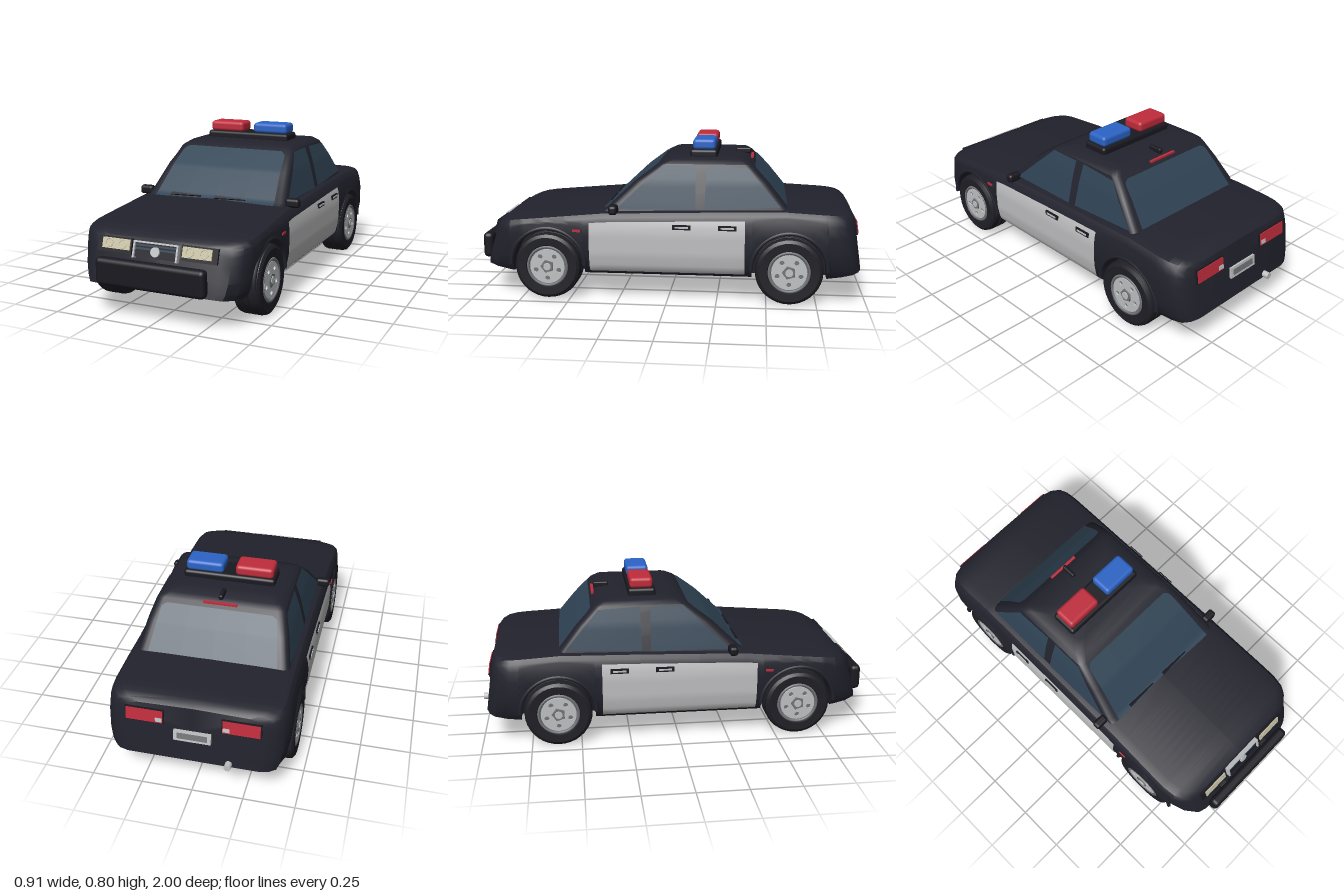
import * as THREE from 'three';
import { toCreasedNormals } from 'three/addons/utils/BufferGeometryUtils.js';
import { RoundedBoxGeometry } from 'three/addons/geometries/RoundedBoxGeometry.js';

const material = (name, color, side = THREE.FrontSide) => {
  const m = new THREE.MeshStandardMaterial({ color, side });
  m.name = name;
  return m;
};
const paint = material('dark paint', 0x22222d);
const black = material('black trim', 0x191920);
const rubber = material('rubber', 0x1f1f26);
const glass = material('tinted glass', 0x2f4354, THREE.DoubleSide);
const white = material('door white', 0xc2c2c4, THREE.DoubleSide);
const chrome = material('chrome', 0xc0c2c4);
const steel = material('dark steel', 0x74767a);
const cream = material('headlamp cream', 0xcbc4a2);
const red = material('red lens', 0xc02c3c);
const blue = material('blue lens', 0x2b64c6);

// Piecewise linear lookup in a table of [key, value] rows
function lookup(table, k) {
  if (k <= table[0][0]) return table[0][1];
  for (let i = 1; i < table.length; i++) {
    const [k0, v0] = table[i - 1], [k1, v1] = table[i];
    if (k <= k1) return v0 + (v1 - v0) * (k - k0) / (k1 - k0);
  }
  return table[table.length - 1][1];
}
const { lerp, clamp } = THREE.MathUtils;

function add(parent, name, geo, mat, x = 0, y = 0, z = 0) {
  const mesh = new THREE.Mesh(geo, mat);
  mesh.name = name;
  mesh.position.set(x, y, z);
  parent.add(mesh);
  return mesh;
}
const box = (w, h, d) => new THREE.BoxGeometry(w, h, d);
const soft = (w, h, d, r) => new RoundedBoxGeometry(w, h, d, 3, r);

// Closed skin over rings of equal point count, capped at both ends
function loft(rings, crease) {
  const n = rings[0].length, pos = rings.flat(2), idx = [];
  for (let i = 0; i < rings.length - 1; i++) for (let j = 0; j < n; j++) {
    const a = i * n + j, b = i * n + (j + 1) % n;
    idx.push(a, b, b + n, a, b + n, a + n);
  }
  [0, rings.length - 1].forEach((r, end) => {
    const c = pos.length / 3;
    for (let k = 0; k < 3; k++) pos.push(rings[r].reduce((s, p) => s + p[k], 0) / n);
    for (let j = 0; j < n; j++) {
      const a = r * n + j, b = r * n + (j + 1) % n;
      idx.push(c, end ? a : b, end ? b : a);
    }
  });
  const g = new THREE.BufferGeometry();
  g.setAttribute('position', new THREE.Float32BufferAttribute(pos, 3));
  g.setIndex(idx);
  return toCreasedNormals(g, crease);
}

// Thin sheet following a rule (u, v) -> [x, y, z]
function sheet(rule, nu = 10, nv = 10) {
  const g = new THREE.PlaneGeometry(1, 1, nu, nv), p = g.attributes.position;
  for (let i = 0; i < p.count; i++) p.setXYZ(i, ...rule(p.getX(i) + 0.5, p.getY(i) + 0.5));
  g.computeVertexNormals();
  return g;
}

// Body rules: deck height and half width along z, side bulge by height
const DECK = [[-0.945, 0.44], [-0.93, 0.452], [-0.9, 0.462], [-0.85, 0.467], [-0.6, 0.48], [-0.2, 0.472],
  [0.33, 0.457], [0.75, 0.42], [0.81, 0.412], [0.85, 0.404], [0.885, 0.392], [0.9, 0.382]];
const PLAN = [[-0.945, 0.335], [-0.93, 0.385], [-0.9, 0.42], [-0.85, 0.437], [-0.78, 0.443],
  [0.74, 0.443], [0.81, 0.432], [0.85, 0.41], [0.885, 0.368], [0.9, 0.32]];
const BULGE = [[0.13, 0.395], [0.17, 0.426], [0.24, 0.44], [0.35, 0.443], [0.4, 0.437], [0.46, 0.42]];
const SILL = [[-0.945, 0.165], [-0.8, 0.132], [0.8, 0.132], [0.9, 0.16]];
const WHEELS = [0.612, -0.612], ARCH = 0.186, ARCH_Y = 0.178;

// Nose and tail lean back towards the top
const lean = (z, y) => z > 0
  ? z + (0.35 - y) * 0.3 * clamp((z - 0.8) / 0.08, 0, 1)
  : z - (0.35 - y) * 0.15 * clamp((-z - 0.8) / 0.08, 0, 1);

function bodyRing(z) {
  const top = lookup(DECK, z), scale = lookup(PLAN, z) / 0.443;
  let low = lookup(SILL, z);
  for (const c of WHEELS) {
    const d = ARCH ** 2 - (z - c) ** 2;
    if (d > -1e-6) low = ARCH_Y + Math.sqrt(Math.max(d, 0));
  }
  const half = [0, 0.12, 0.35, 0.7, 0.88, 1].map(f => {
    const y = lerp(low, top - 0.03, f);
    return [lookup(BULGE, y) * scale, y];
  });
  const shoulder = half[5][0];
  half.push([shoulder - 0.016, top - 0.011], [shoulder - 0.06, top]);
  const ring = [[0, low], ...half, [0, top + 0.006], ...half.slice().reverse().map(([x, y]) => [-x, y])];
  return ring.map(([x, y]) => [x, y, lean(z, y)]);
}

function makeBody() {
  const zs = [...new Set([...DECK, ...PLAN].map(r => r[0])), 0.1, -0.4];
  for (const c of WHEELS) {
    for (let k = 0; k <= 14; k++) zs.push(c + ARCH * Math.cos(k * Math.PI / 14));
    zs.push(c + ARCH + 0.001, c - ARCH - 0.001);
  }
  return loft(zs.sort((a, b) => a - b).map(bodyRing), 0.6);
}

// Cabin rules by height: windscreen z, rear window z, half width
const FRONT = [[0.43, 0.38], [0.455, 0.335], [0.47, 0.308], [0.6, 0.17], [0.69, 0.05], [0.71, 0.01], [0.718, -0.05]];
const REAR = [[0.43, -0.63], [0.47, -0.605], [0.6, -0.5], [0.69, -0.415], [0.71, -0.385], [0.718, -0.3]];
const WIDE = [[0.43, 0.39], [0.47, 0.383], [0.6, 0.352], [0.69, 0.322], [0.71, 0.295], [0.718, 0.24]];

function cabinRing(y) {
  const w = lookup(WIDE, y), f = lookup(FRONT, y), b = lookup(REAR, y), r = 0.035, ring = [];
  for (let q = 0; q < 4; q++) for (let k = 0; k <= 4; k++) {
    const a = (q + k / 4) * Math.PI / 2;
    const cx = q === 0 || q === 3 ? w - r : r - w, cz = q < 2 ? b + r : f - r;
    ring.push([cx + r * Math.cos(a), y, cz - r * Math.sin(a)]);
  }
  return ring;
}

// Side window from four [z, y] corners lying on the cabin side
const sideGlass = (s, [a, b, c, d]) => sheet((u, v) => {
  const at = k => lerp(lerp(a[k], b[k], u), lerp(d[k], c[k], u), v), y = at(1);
  return [s * (lookup(WIDE, y) + 0.004), y, at(0)];
});

function makeWheel() {
  const wheel = new THREE.Group();
  wheel.name = 'wheel';
  const spin = new THREE.Group();
  spin.rotation.z = -Math.PI / 2;
  wheel.add(spin);
  const profile = [[0.09, -0.068], [0.15, -0.068], [0.165, -0.058], [0.17, -0.04], [0.17, -0.022], [0.162, -0.02],
    [0.162, -0.012], [0.17, -0.01], [0.17, 0.01], [0.162, 0.012], [0.162, 0.02], [0.17, 0.022], [0.17, 0.04],
    [0.165, 0.058], [0.15, 0.068], [0.11, 0.066], [0.1, 0.045]].map(p => new THREE.Vector2(...p));
  add(spin, 'tyre', toCreasedNormals(new THREE.LatheGeometry(profile, 36), 0.6), rubber);
  add(spin, 'rim dish', new THREE.CylinderGeometry(0.106, 0.106, 0.11, 32), steel);
  const lip = add(spin, 'rim lip', new THREE.TorusGeometry(0.1, 0.007, 8, 36), steel, 0, 0.061);
  lip.rotation.x = Math.PI / 2;
  // Pierced wheel face
  const face = new THREE.Shape().absarc(0, 0, 0.089, 0, Math.PI * 2);
  for (let i = 0; i < 5; i++) {
    const a = i * Math.PI * 0.4;
    face.holes.push(new THREE.Path().absarc(0.062 * Math.cos(a), 0.062 * Math.sin(a), 0.012, 0, Math.PI * 2, true));
  }
  const disc = new THREE.ExtrudeGeometry(face, { depth: 0.009, bevelEnabled: false, curveSegments: 16 });
  add(spin, 'wheel face', disc.rotateX(-Math.PI / 2), chrome, 0, 0.055);
  add(spin, 'hub plate', new THREE.CylinderGeometry(0.034, 0.036, 0.006, 5), steel, 0, 0.067);
  add(spin, 'hub cap', new THREE.CylinderGeometry(0.019, 0.021, 0.008, 16), chrome, 0, 0.069);
  return wheel;
}

export function createModel() {
  const car = new THREE.Group();
  car.name = 'patrolCar';
  add(car, 'body', makeBody(), paint);
  add(car, 'floor', box(0.61, 0.2, 1.64), black, 0, 0.225, 0);
  add(car, 'cabin', loft([0.43, 0.455, 0.47, 0.6, 0.69, 0.71, 0.718].map(cabinRing), 0.6), paint);

  // Windscreen and rear window
  const pane = (y0, y1, w0, w1, table, off) => sheet((u, v) => {
    const y = lerp(y0, y1, v), round = 0.025 * clamp((v - 0.9) / 0.1, 0, 1) ** 2;
    return [(u * 2 - 1) * (lerp(w0, w1, v) - round), y, lookup(table, y) + off];
  }, 4, 30);
  add(car, 'windscreen', pane(0.458, 0.688, 0.335, 0.292, FRONT, 0.006), glass);
  add(car, 'rearWindow', pane(0.485, 0.675, 0.325, 0.29, REAR, -0.006), glass);

  for (const s of [1, -1]) {
    add(car, 'frontSideWindow', sideGlass(s, [[0.265, 0.465], [-0.14, 0.468], [-0.137, 0.685], [0.03, 0.685]]), glass);
    add(car, 'rearSideWindow', sideGlass(s, [[-0.185, 0.47], [-0.565, 0.488], [-0.4, 0.675], [-0.19, 0.685]]), glass);
    // White doors
    add(car, 'doorPanel', sheet((u, v) => {
      const z = lerp(0.395, -0.39, u), y = lerp(0.148, lookup(DECK, z) - 0.05, v);
      return [s * (lookup(BULGE, y) + 0.005), y, z];
    }, 12, 14), white);
    for (const z of [-0.075, -0.303]) {
      add(car, 'handleRecess', box(0.012, 0.024, 0.092), black, s * 0.443, 0.39, z);
      add(car, 'doorHandle', box(0.008, 0.008, 0.066), chrome, s * 0.449, 0.39, z);
    }
    add(car, 'sideMarker', box(0.01, 0.012, 0.04), red, s * 0.441, 0.36, 0.458);
    add(car, 'mirror', soft(0.075, 0.046, 0.044, 0.015), black, s * 0.416, 0.468, 0.272);
    add(car, 'mirrorArm', box(0.05, 0.02, 0.025), black, s * 0.375, 0.458, 0.272);
    // Wheels with arch lips
    for (const z of WHEELS) {
      const wheel = makeWheel();
      wheel.position.set(s * 0.379, 0.171, z);
      if (s < 0) wheel.rotation.y = Math.PI;
      car.add(wheel);
      const lip = add(car, 'archLip', new THREE.TorusGeometry(ARCH + 0.005, 0.011, 6, 28, Math.PI), paint, s * 0.434, ARCH_Y, z);
      lip.rotation.y = Math.PI / 2;
    }
    // Light bar lens
    add(car, s > 0 ? 'blueBeacon' : 'redBeacon', soft(0.195, 0.056, 0.118, 0.018), s > 0 ? blue : red, s * 0.128, 0.777, -0.172);
    add(car, 'bumperStrut', box(0.04, 0.05, 0.08), black, s * 0.16, 0.23, 0.93);
  }
  add(car, 'lightBarBase', soft(0.472, 0.045, 0.142, 0.015), black, 0, 0.73, -0.17);
  add(car, 'pushBar', soft(0.564, 0.132, 0.055, 0.022), black, 0, 0.231, 0.9725);
  add(car, 'roofAerial', soft(0.022, 0.028, 0.08, 0.008), black, 0, 0.721, -0.37);
  add(car, 'highBrakeLamp', box(0.17, 0.01, 0.014), red, 0, 0.695, -0.417);

  // Wipers: slim tapering blades on the glass
  for (const x of [-0.245, 0.005]) {
    const blade = new THREE.Shape().moveTo(0, 0).lineTo(0.172, 0.006).lineTo(0.172, 0.01).lineTo(0, 0.016);
    const wiper = add(car, 'wiper', new THREE.ExtrudeGeometry(blade, { depth: 0.007, bevelEnabled: false }), black, x, 0.463, 0.326);
    wiper.rotation.set(-0.85, 0, 0);
  }

  // Nose fittings, tilted with the panel
  const nose = new THREE.Group();
  nose.name = 'noseFittings';
  nose.position.set(0, 0.342, 0.902);
  nose.rotation.x = -0.29;
  car.add(nose);
  for (const s of [1, -1]) {
    add(nose, 'lampBezel', box(0.182, 0.072, 0.024), black, s * 0.22, 0, 0);
    add(nose, 'headlamp', box(0.147, 0.05, 0.008), cream, s * 0.21, 0.004, 0.014);
    for (const x of [0.174, 0.247]) {
      add(nose, 'lampRing', new THREE.TorusGeometry(0.019, 0.002, 6, 24), chrome, s * x, 0.004, 0.018);
    }
    add(nose, 'grilleSideBar', box(0.009, 0.076, 0.034), chrome, s * 0.112, -0.012, 0.006);
  }
  add(nose, 'grilleTopBar', box(0.233, 0.008, 0.034), chrome, 0, 0.026, 0.006);
  add(nose, 'grille', box(0.215, 0.07, 0.026), black, 0, -0.01, 0);
  for (const y of [0.012, -0.004]) add(nose, 'grilleSlat', box(0.21, 0.009, 0.006), glass, 0, y, 0.014);
  const stud = add(nose, 'grilleStud', new THREE.CylinderGeometry(0.023, 0.023, 0.01, 20), chrome, 0, -0.014, 0.018);
  stud.rotation.x = Math.PI / 2;

  // Tail fittings
  const tail = new THREE.Group();
  tail.name = 'tailFittings';
  tail.position.set(0, 0.35, -0.945);
  tail.rotation.set(-0.15, Math.PI, 0, 'YXZ');
  car.add(tail);
  for (const s of [1, -1]) {
    add(tail, 'tailLampBezel', box(0.19, 0.074, 0.014), black, s * 0.232, 0.032, 0);
    add(tail, 'tailLamp', box(0.178, 0.062, 0.008), red, s * 0.232, 0.032, 0.008);
    add(tail, 'reverseLamp', box(0.032, 0.02, 0.006), chrome, s * 0.162, 0.018, 0.012);
  }
  add(tail, 'plateFrame', box(0.18, 0.055, 0.014), chrome, 0, -0.05, 0.004);
  add(tail, 'plateInset', box(0.145, 0.03, 0.008), steel, 0, -0.05, 0.009);
  const pipe = add(car, 'exhaust', new THREE.CylinderGeometry(0.017, 0.017, 0.1, 16), chrome, -0.175, 0.18, -0.95);
  pipe.rotation.x = Math.PI / 2;
  return car;
}
